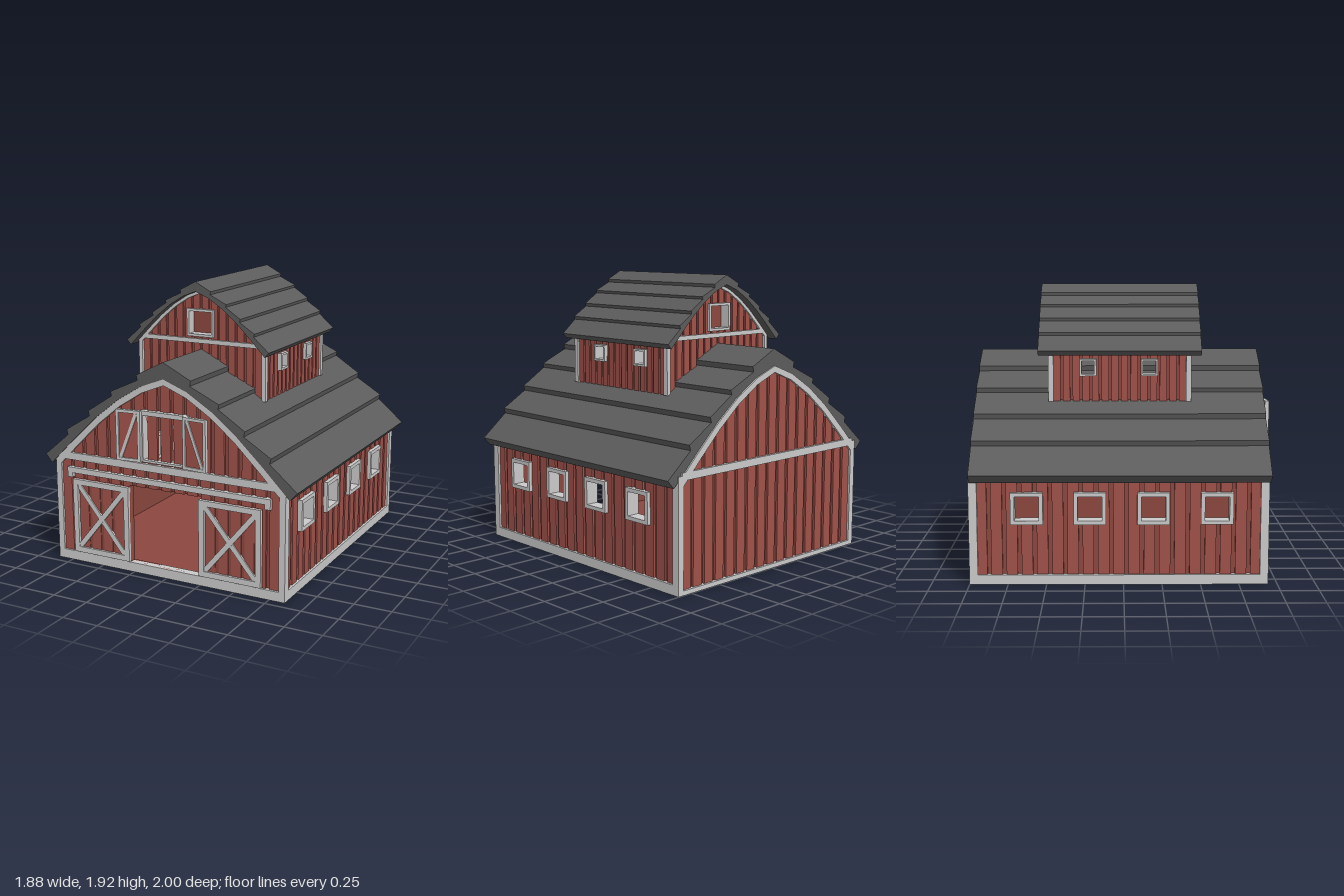
import * as THREE from 'three';
import { mergeGeometries } from 'three/addons/utils/BufferGeometryUtils.js';

const mat = (color) => new THREE.MeshStandardMaterial({ color, flatShading: true, side: THREE.DoubleSide });
const RED = mat(0xa0524a), DARK = mat(0x8c4840), ROOF = mat(0x5c5c5c), TRIM = mat(0xcccccc);

// Half profiles of the stepped roof: top surface with lapped boards, and underside
const TOP = [[0, 1.46], [0.2, 1.36], [0.193, 1.325], [0.4, 1.23], [0.393, 1.2], [0.58, 1.08],
  [0.572, 1.045], [0.76, 0.93], [0.75, 0.895], [0.94, 0.735]];
const UNDER = [[0, 1.35], [0.17, 1.285], [0.35, 1.175], [0.52, 1.04], [0.7, 0.87], [0.89, 0.68]];

const mirrored = (half) => [...half.slice(1).reverse().map(([x, y]) => [-x, y]), ...half];
const shapeOf = (pts) => new THREE.Shape(pts.map(([x, y]) => new THREE.Vector2(x, y)));
const rectPts = ([x0, x1, y0, y1]) => [[x0, y0], [x1, y0], [x1, y1], [x0, y1]];

function prism(shape, z0, z1) {
  return new THREE.ExtrudeGeometry(shape, { depth: z1 - z0, bevelEnabled: false }).translate(0, 0, z0);
}
function box(x0, x1, y0, y1, z0, z1) {
  return new THREE.BoxGeometry(x1 - x0, y1 - y0, z1 - z0)
    .translate((x0 + x1) / 2, (y0 + y1) / 2, (z0 + z1) / 2);
}
function beam(x0, y0, x1, y1, w, z0, z1) {
  return new THREE.BoxGeometry(Math.hypot(x1 - x0, y1 - y0), w, z1 - z0)
    .rotateZ(Math.atan2(y1 - y0, x1 - x0))
    .translate((x0 + x1) / 2, (y0 + y1) / 2, (z0 + z1) / 2);
}
function add(parent, name, geos, material) {
  const list = [].concat(geos).map((g) => (g.index ? g.toNonIndexed() : g));
  const mesh = new THREE.Mesh(mergeGeometries(list), material);
  mesh.name = name;
  parent.add(mesh);
  return mesh;
}
function frame([x0, x1, y0, y1], w, z0, z1) {
  const s = shapeOf(rectPts([x0, x1, y0, y1]));
  s.holes.push(new THREE.Path(rectPts([x0 + w, x1 - w, y0 + w, y1 - w]).map((p) => new THREE.Vector2(...p))));
  return prism(s, z0, z1);
}
function heightAt(line, x) {
  const ax = Math.abs(x);
  let i = 1;
  while (i < line.length - 1 && line[i][0] < ax) i++;
  const [a, b] = [line[i - 1], line[i]];
  return a[1] + ((b[1] - a[1]) * (ax - a[0])) / (b[0] - a[0]);
}

// Wall facing +z with its backing face on z = 0, raised vertical boards and rectangular openings
function wall(name, outline, [xa, xb, ya], topAt, openings, pitch, lift) {
  const g = new THREE.Group();
  g.name = name;
  const back = shapeOf(outline);
  for (const o of openings) back.holes.push(new THREE.Path(rectPts(o).map((p) => new THREE.Vector2(...p))));
  add(g, 'wallBacking', prism(back, -0.03, 0), DARK);
  const boards = [];
  const n = Math.round((xb - xa) / pitch), step = (xb - xa) / n;
  for (let i = 0; i < n; i++) {
    const x0 = xa + i * step + step * 0.13, x1 = x0 + step * 0.74;
    const cut = openings.find((o) => x1 > o[0] && x0 < o[1]);
    const t0 = topAt(x0), t1 = topAt(x1);
    if (cut) {
      if (cut[2] > ya + 0.02) boards.push(box(x0, x1, ya, cut[2], -0.005, lift));
      boards.push(prism(shapeOf([[x0, cut[3]], [x1, cut[3]], [x1, t1], [x0, t0]]), -0.005, lift));
      // board sides left beside an opening
      if (x0 < cut[0]) boards.push(box(x0, cut[0], cut[2], cut[3], -0.005, lift));
      if (x1 > cut[1]) boards.push(box(cut[1], x1, cut[2], cut[3], -0.005, lift));
    } else boards.push(prism(shapeOf([[x0, ya], [x1, ya], [x1, t1], [x0, t0]]), -0.005, lift));
  }
  add(g, 'boards', boards, RED);
  return g;
}

// One storey: four walls, corner posts, gable trim and lapped roof
function house(name, o) {
  const g = new THREE.Group();
  g.name = name;
  const fit = ([x, y]) => [x * o.sx, o.peak + (y - 1.46) * o.sy];
  const top = TOP.map(fit), under = UNDER.map(fit);
  const { hx, base, zf, zb, lip, lift } = o;
  const roofY = (x) => heightAt(under, x);

  // Gable ends
  const crown = mirrored([...under.slice(0, -1), [hx, roofY(hx)]]).reverse();
  const outline = [[-hx, base], [hx, base], ...crown];
  const bandOut = mirrored([...under.slice(0, -1), [hx + 0.01, roofY(hx + 0.01)]]);
  const bandIn = bandOut.map(([x, y]) => [x * 0.97, y - o.band]).reverse();
  for (const [end, face, turn, holes] of [['front', zf, 0, o.frontHoles], ['back', zb, Math.PI, o.backHoles]]) {
    const w = wall(end + 'Wall', outline, [-hx, hx, base], roofY, holes, o.pitch, lift);
    w.position.z = face;
    w.rotation.y = turn;
    add(w, 'gableTrim', prism(shapeOf([...bandOut, ...bandIn]), 0, lip), TRIM);
    add(w, 'crossTrim', box(-hx, hx, o.cross[0], o.cross[1], 0, lip), TRIM);
    if (o.sill) add(w, 'baseTrim', box(-hx, hx, 0, end === 'front' ? o.sill : 0.03, -0.03, lip), TRIM);
    g.add(w);
    if (o.gableWindow) {
      add(w, 'gableWindowFrame', frame(o.gableWindow, 0.017, -0.04, lip + 0.005), TRIM);
      add(w, 'gableWindowPane', box(...o.gableWindow, -0.05, -0.04), DARK);
    }
  }

  // Long sides with framed windows
  const mid = (zf + zb) / 2, half = (zf - zb) / 2, eave = roofY(hx) + 0.01;
  for (const s of [1, -1]) {
    const wins = o.windows.map((z) => {
      const c = -s * (z - mid);
      return [c - o.win, c + o.win, o.winY[0], o.winY[1]];
    });
    const w = wall(s > 0 ? 'leftWall' : 'rightWall', rectPts([-half, half, base, eave]),
      [-half, half, base], () => eave, wins, o.pitch, lift);
    w.position.set(s * hx, 0, mid);
    w.rotation.y = (s * Math.PI) / 2;
    const f = o.winFrame;
    add(w, 'windowFrames', wins.map(([a, b, c, d]) => frame([a, b, c, d], f, -0.05, lip + 0.01)), TRIM);
    if (o.sill) add(w, 'baseTrim', box(-half, half, 0, o.sill, -0.02, lip), TRIM);
    g.add(w);
    // Corner posts
    for (const [z0, z1] of [[zf + lip - o.post, zf + lip], [zb - lip, zb - lip + o.post]]) {
      const xs = [s * (hx + lip), s * (hx + lip - o.post * 0.8)].sort((a, b) => a - b);
      add(g, 'cornerPost', box(xs[0], xs[1], base, eave, z0, z1), TRIM);
    }
  }
  const roof = shapeOf([...mirrored(top), ...mirrored(under).reverse()]);
  add(g, 'roof', prism(roof, o.roofZ[0], o.roofZ[1]), ROOF);
  return g;
}

export function createModel() {
  const model = new THREE.Group();
  model.name = 'barn';
  const doorway = [-0.28, 0.25, 0.065, 0.6], loft = [-0.155, 0.155, 0.8, 1.1];

  const main = house('mainBarn', {
    sx: 1, sy: 1, peak: 1.46, hx: 0.83, base: 0, zf: 0.91, zb: -0.97, lip: 0.03, lift: 0.015,
    frontHoles: [doorway, loft], backHoles: [], cross: [0.72, 0.77], sill: 0.065, band: 0.042,
    windows: [0.604, 0.193, -0.217, -0.625], win: 0.105, winY: [0.4, 0.61], winFrame: 0.026,
    pitch: 0.1, post: 0.055, roofZ: [-0.99, 0.945],
  });
  add(main, 'floor', box(-0.83, 0.83, 0, 0.03, -0.97, 0.91), DARK);
  model.add(main);

  model.add(house('upperLoft', {
    sx: 0.57, sy: 0.59, peak: 1.92, hx: 0.458, base: 1.15, zf: 0.43, zb: -0.475, lip: 0.025, lift: 0.012,
    frontHoles: [[-0.1, 0.1, 1.545, 1.73]], backHoles: [[-0.1, 0.1, 1.545, 1.73]],
    gableWindow: [-0.1, 0.1, 1.545, 1.73], cross: [1.5, 1.53], band: 0.02,
    windows: [0.175, -0.235], win: 0.056, winY: [1.32, 1.435], winFrame: 0.014,
    pitch: 0.065, post: 0.035, roofZ: [-0.565, 0.52],
  }));

  // Sliding barn doors with crossed braces
  for (const [name, x0, x1] of [['rightBarnDoor', -0.72, -0.28], ['leftBarnDoor', 0.25, 0.695]]) {
    const door = new THREE.Group();
    door.name = name;
    const y0 = 0.07, y1 = 0.59, w = 0.038;
    add(door, 'doorPanel', box(x0, x1, y0, y1, 0.915, 0.93), DARK);
    const slats = [];
    for (let i = 0; i < 4; i++) {
      const a = x0 + 0.045 + i * 0.093;
      slats.push(box(a, a + 0.07, y0 + 0.02, y1 - 0.02, 0.92, 0.935));
    }
    add(door, 'doorBoards', slats, RED);
    add(door, 'doorFrame', frame([x0, x1, y0, y1], w, 0.915, 0.95), TRIM);
    add(door, 'doorBraces', [
      beam(x0 + w, y0 + w, x1 - w, y1 - w, 0.035, 0.92, 0.945),
      beam(x0 + w, y1 - w, x1 - w, y0 + w, 0.035, 0.92, 0.944),
    ], TRIM);
    model.add(door);
  }
  // Door rail with turned-down ends
  add(model, 'doorRail', [box(-0.76, 0.76, 0.632, 0.67, 0.91, 0.95),
    box(-0.76, -0.72, 0.6, 0.632, 0.91, 0.95), box(0.72, 0.76, 0.6, 0.632, 0.91, 0.95)], TRIM);

  // Loft opening surround and swung shutters
  add(model, 'loftSurround', [box(-0.175, 0.175, 1.1, 1.13, 0.88, 0.955), box(-0.175, 0.175, 0.785, 0.8, 0.88, 0.95),
    box(-0.175, -0.155, 0.8, 1.1, 0.88, 0.95), box(0.155, 0.175, 0.8, 1.1, 0.88, 0.95)], TRIM);
  for (const s of [1, -1]) {
    const shutter = new THREE.Group();
    shutter.name = s > 0 ? 'leftShutter' : 'rightShutter';
    const W = 0.175, edge = s > 0 ? [0, W] : [-W, 0];
    add(shutter, 'shutterPanel', box(edge[0] + 0.01, edge[1] - 0.01, 0.8, 1.12, 0.008, 0.018), RED);
    add(shutter, 'shutterFrame', [frame([...edge, 0.79, 1.132], 0.02, 0, 0.027),
      beam(s * 0.03, 1.11, s * (W - 0.03), 0.81, 0.022, 0.002, 0.025)], TRIM);
    shutter.position.set(s * 0.16, 0, 0.955);
    shutter.rotation.y = -s * 0.09;
    model.add(shutter);
  }
  return model;
}
